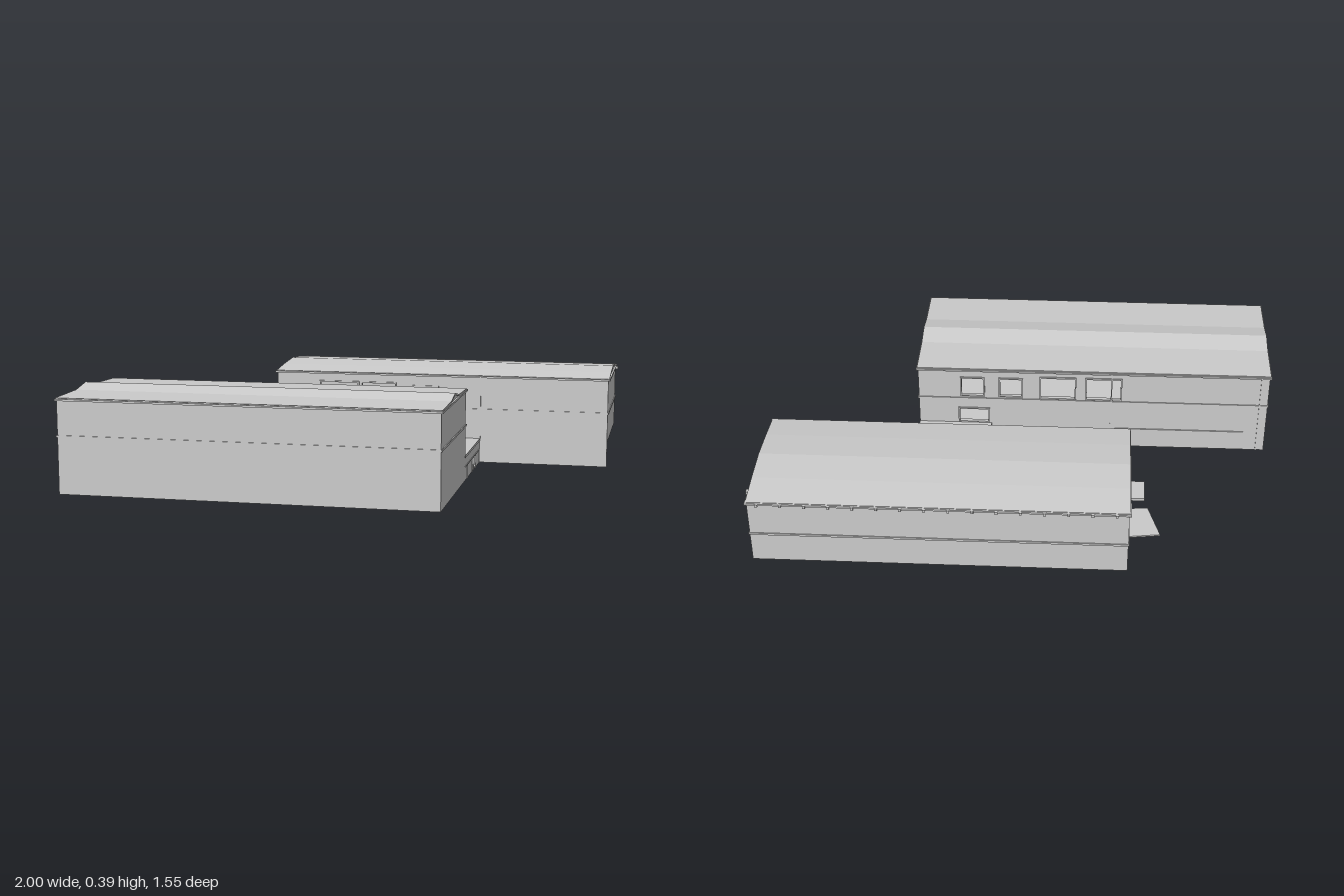
import * as THREE from 'three';

const grey = new THREE.MeshStandardMaterial({ color: 0xcccccc, flatShading: true, side: THREE.DoubleSide });
const T = 0.01; // wall thickness

export function createModel() {
  const model = new THREE.Group();
  model.name = 'twinHalls';

  const add = (parent, name, geometry) => {
    const mesh = new THREE.Mesh(geometry, grey);
    mesh.name = name;
    parent.add(mesh);
    return mesh;
  };

  // Box given by its min and max on each axis
  const block = (parent, name, x0, x1, y0, y1, z0, z1) => {
    const g = new THREE.BoxGeometry(x1 - x0, y1 - y0, z1 - z0);
    g.translate((x0 + x1) / 2, (y0 + y1) / 2, (z0 + z1) / 2);
    return add(parent, name, g);
  };

  // Extruded outline with rectangular holes [a0, a1, y0, y1]
  const slab = (points, holes, depth) => {
    const shape = new THREE.Shape(points.map(p => new THREE.Vector2(...p)));
    for (const [a0, a1, y0, y1] of holes) {
      shape.holes.push(new THREE.Path([[a0, y0], [a0, y1], [a1, y1], [a1, y0]].map(p => new THREE.Vector2(...p))));
    }
    return new THREE.ExtrudeGeometry(shape, { depth, bevelEnabled: false });
  };
  const rect = (a0, a1, y0, y1) => [[a0, y0], [a1, y0], [a1, y1], [a0, y1]];

  // Wall along x, filling z to z + T
  const longWall = (parent, name, x0, x1, y0, y1, z, holes = []) =>
    add(parent, name, slab(rect(x0, x1, y0, y1), holes, T).translate(0, 0, z));

  // Outline in (z, y), extruded from x1 back to x1 - depth
  const across = (parent, name, points, holes, x1, depth) =>
    add(parent, name, slab(points, holes, depth).rotateY(-Math.PI / 2).translate(x1, 0, 0));

  // Raised frame around an opening in a long wall
  const frame = (parent, [x0, x1, y0, y1], z) => {
    const g = new THREE.Group();
    g.name = 'windowFrame';
    const w = 0.006;
    add(g, 'surround', slab(rect(x0 - w, x1 + w, y0 - w, y1 + w), [[x0, x1, y0, y1]], 0.012).translate(0, 0, z - 0.006));
    parent.add(g);
  };

  // Thin band running round a hall
  const band = (parent, name, x0, x1, z0, z1, y, h, out) => {
    block(parent, name, x0 - out, x1 + out, y, y + h, z1, z1 + out);
    block(parent, name, x0 - out, x1 + out, y, y + h, z0 - out, z0);
    block(parent, name, x0 - out, x0, y, y + h, z0, z1);
    block(parent, name, x1, x1 + out, y, y + h, z0, z1);
  };

  // A hall: floors, four walls, roof sheet and bands
  const hall = (name, o) => {
    const g = new THREE.Group();
    g.name = name;
    model.add(g);
    const { x0, x1, y0, z0, z1, roof } = o;
    const eave = roof[0][1];
    block(g, 'floor', x0, x1, y0, y0 + 0.008, z0, z1);
    block(g, 'upperFloor', x0 + T, x1 - T, 0.2, 0.208, z0 + T, z1 - T);
    longWall(g, 'frontWall', x0, x1, y0, eave, z1 - T, o.frontHoles);
    longWall(g, 'backWall', x0, x1, y0, eave, z0, o.backHoles);
    const gable = [[z0, y0], [z1, y0], ...[...roof].reverse().map(([z, y]) => [z, y - 0.004])];
    across(g, 'rightEndWall', gable, o.lowXHoles, x0 + T, T);
    across(g, 'leftEndWall', gable, [], x1, T);
    const sheet = [...roof.map(([z, y]) => [z, y - 0.007]), ...[...roof].reverse()];
    across(g, 'roof', sheet, [], x1 + 0.004, x1 - x0 + 0.008);
    band(g, 'eaveTrim', x0, x1, z0, z1, 0.355, 0.007, 0.007);
    band(g, 'storeyTrim', x0, x1, z0, z1, 0.217, 0.008, 0.004);
    for (const h of o.frontHoles) frame(g, h, z1);
    for (const h of o.backHoles) frame(g, h, z0);
    return g;
  };

  // Near hall with a raised ridge
  const near = hall('nearHall', {
    x0: -0.99, x1: 0.46, y0: 0, z0: 0.18, z1: 0.763,
    roof: [[0.18, 0.366], [0.375, 0.37], [0.47, 0.388], [0.565, 0.37], [0.763, 0.366]],
    frontHoles: [],
    backHoles: [[0.19, 0.28, 0.24, 0.32], [0.03, 0.12, 0.24, 0.32], [-0.19, -0.05, 0.235, 0.33],
      [-0.38, -0.24, 0.235, 0.33], [0.17, 0.29, 0.11, 0.17]],
    lowXHoles: [[0.37, 0.49, 0.235, 0.33], [0.53, 0.75, 0.235, 0.345]],
  });
  block(near, 'wallSeam', -0.345, -0.34, 0, 0.36, 0.176, 0.18);
  block(near, 'wallSeam', -0.96, -0.955, 0, 0.36, 0.176, 0.18);
  block(near, 'pipe', -0.9, -0.36, 0.085, 0.091, 0.175, 0.18);

  // Far hall, standing higher, with a shallow arched roof
  const far = hall('farHall', {
    x0: -0.41, x1: 0.985, y0: 0.1, z0: -0.763, z1: -0.225,
    roof: [[-0.763, 0.364], [-0.63, 0.379], [-0.49, 0.388], [-0.35, 0.378], [-0.225, 0.364]],
    frontHoles: [[-0.22, -0.06, 0.16, 0.32], [-0.04, 0.1, 0.16, 0.32], [0.18, 0.28, 0.23, 0.31]],
    backHoles: [],
    lowXHoles: [[-0.57, -0.41, 0.112, 0.2], [-0.33, -0.245, 0.112, 0.2]],
  });
  block(far, 'wallSeam', 0.458, 0.463, 0.1, 0.36, -0.225, -0.221);
  block(far, 'wallSeam', -0.345, -0.34, 0.225, 0.33, -0.225, -0.221);
  block(far, 'lamp', 0.985, 1, 0.35, 0.362, -0.7, -0.68);
  for (let i = 0; i < 16; i++) {
    const x = -0.37 + i * 0.0875;
    block(far, 'eaveBracket', x, x + 0.01, 0.352, 0.362, -0.776, -0.769);
  }
  // Pegs beneath the raised floor
  for (let i = 0; i < 7; i++) {
    for (const z of [-0.41, -0.585]) {
      const peg = add(far, 'floorPeg', new THREE.CylinderGeometry(0.008, 0.008, 0.008, 8));
      peg.position.set(-0.27 + i * 0.19, 0.097, z);
    }
  }

  // Skirt below the far hall, open at the link
  longWall(far, 'skirt', 0.46, 0.985, 0, 0.1, -0.235);
  longWall(far, 'skirt', -0.41, 0.11, 0, 0.1, -0.235);

  // Landings at the low-x end of the far hall
  const landing = [[-0.41, -0.58], [-0.41, -0.405], [-0.49, -0.398], [-0.535, -0.562]];
  add(far, 'angledLanding', slab(landing, [], 0.006).rotateX(Math.PI / 2).translate(0, 0.115, 0));
  block(far, 'sideLanding', -0.48, -0.41, 0.1, 0.112, -0.335, -0.222);

  // Low link between the halls
  const link = new THREE.Group();
  link.name = 'link';
  model.add(link);
  block(link, 'linkFloor', 0.16, 0.46, 0, 0.006, -0.335, 0.18);
  block(link, 'linkRoof', 0.157, 0.461, 0.09, 0.1, -0.225, 0.18);
  const side = rect(-0.335, 0.18, 0, 0.098);
  across(link, 'linkWall', side, [[-0.095, -0.06, 0.006, 0.055], [-0.045, -0.01, 0.006, 0.055]], 0.46, T);
  across(link, 'linkWall', side, [], 0.17, T);
  block(link, 'linkEndWall', 0.16, 0.46, 0, 0.1, -0.335, -0.327);
  block(link, 'ledge', 0.11, 0.16, 0.06, 0.1, -0.225, -0.105);
  block(link, 'step', 0.08, 0.16, 0.05, 0.075, -0.06, -0.015);
  block(link, 'stepPost', 0.09, 0.105, 0.05, 0.08, -0.07, -0.06);
  block(link, 'sideTrim', 0.46, 0.463, 0.055, 0.059, -0.21, 0.18);
  for (const z of [-0.21, -0.1, -0.053, -0.003, 0.12]) {
    block(link, 'sidePost', 0.46, 0.463, 0, 0.055, z, z + 0.004);
  }
  return model;
}
